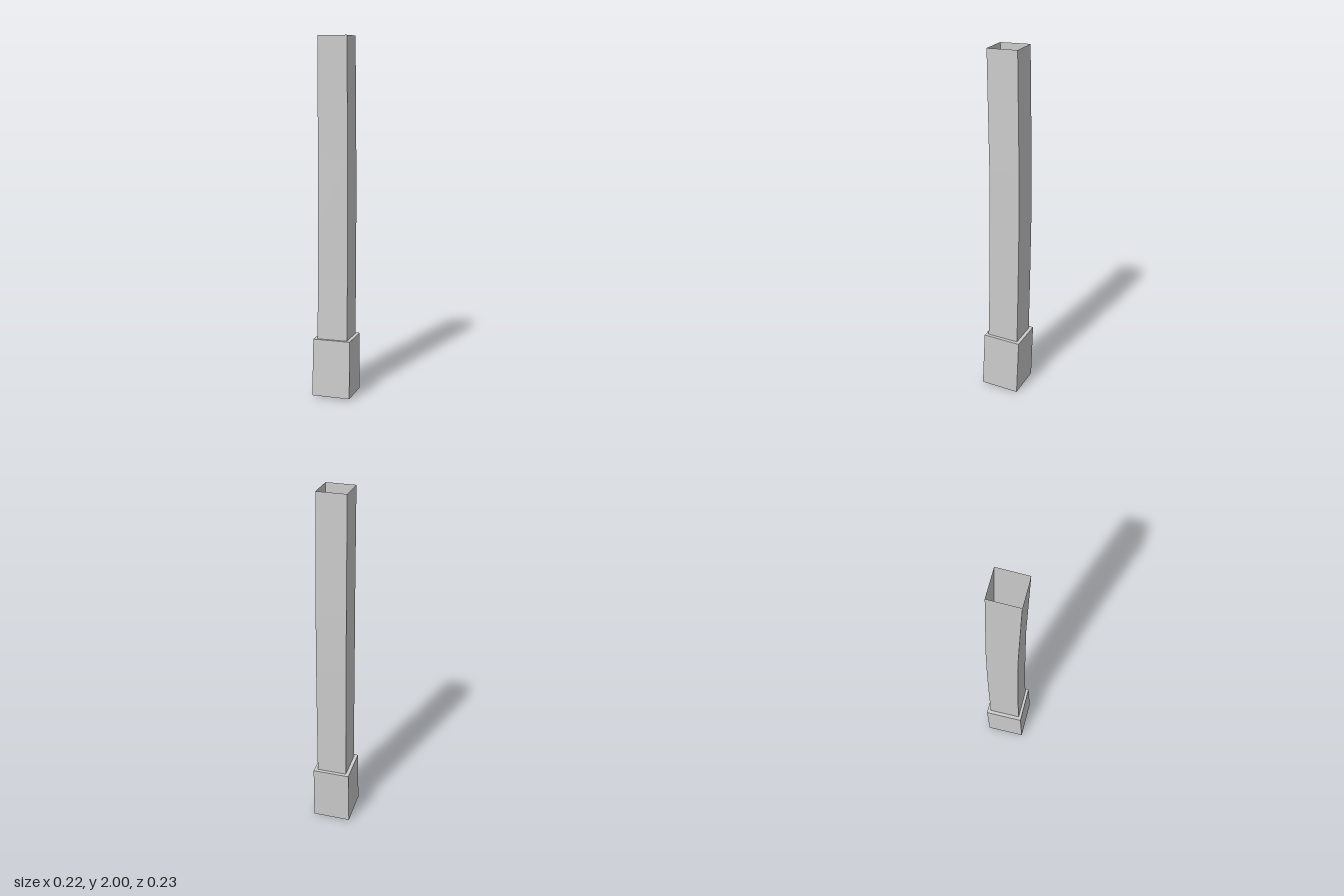
import * as THREE from 'three';

const material = new THREE.MeshStandardMaterial({ color: 0xcccccc, flatShading: true, side: THREE.DoubleSide });

// Each ring: [half width, front y, front z, back y, back z]
const baseBottom = [0.108, 0.01, 0.114, 0, -0.105];
const baseTop = [0.105, 0.334, 0.1, 0.326, -0.115];
const shaftBottom = [0.085, 0.333, 0.084, 0.327, -0.096];

// Open square sleeve skinned through a list of rings
function sleeve(name, rings) {
  const positions = [];
  const index = [];
  for (const [w, yf, zf, yb, zb] of rings) {
    positions.push(-w, yf, zf, w, yf, zf, w, yb, zb, -w, yb, zb);
  }
  for (let r = 0; r < rings.length - 1; r++) {
    for (let i = 0; i < 4; i++) {
      const a = r * 4 + i;
      const b = r * 4 + (i + 1) % 4;
      index.push(a, b, b + 4, a, b + 4, a + 4);
    }
  }
  const indexed = new THREE.BufferGeometry();
  indexed.setAttribute('position', new THREE.Float32BufferAttribute(positions, 3));
  indexed.setIndex(index);
  const geometry = indexed.toNonIndexed();
  geometry.computeVertexNormals();
  const mesh = new THREE.Mesh(geometry, material);
  mesh.name = name;
  return mesh;
}

export function createModel() {
  const group = new THREE.Group();
  group.name = 'squarePost';
  // Wider foot, open underneath
  group.add(sleeve('base', [baseBottom, baseTop]));
  // Narrow step between foot and shaft
  group.add(sleeve('ledge', [baseTop, shaftBottom]));
  // Slightly bowed hollow shaft, open at the top
  group.add(sleeve('shaft', [
    shaftBottom,
    [0.085, 0.67, 0.075, 0.67, -0.101],
    [0.085, 1.0, 0.072, 1.0, -0.104],
    [0.084, 1.34, 0.07, 1.34, -0.103],
    [0.081, 1.995, 0.081, 2, -0.09],
  ]));
  return group;
}
